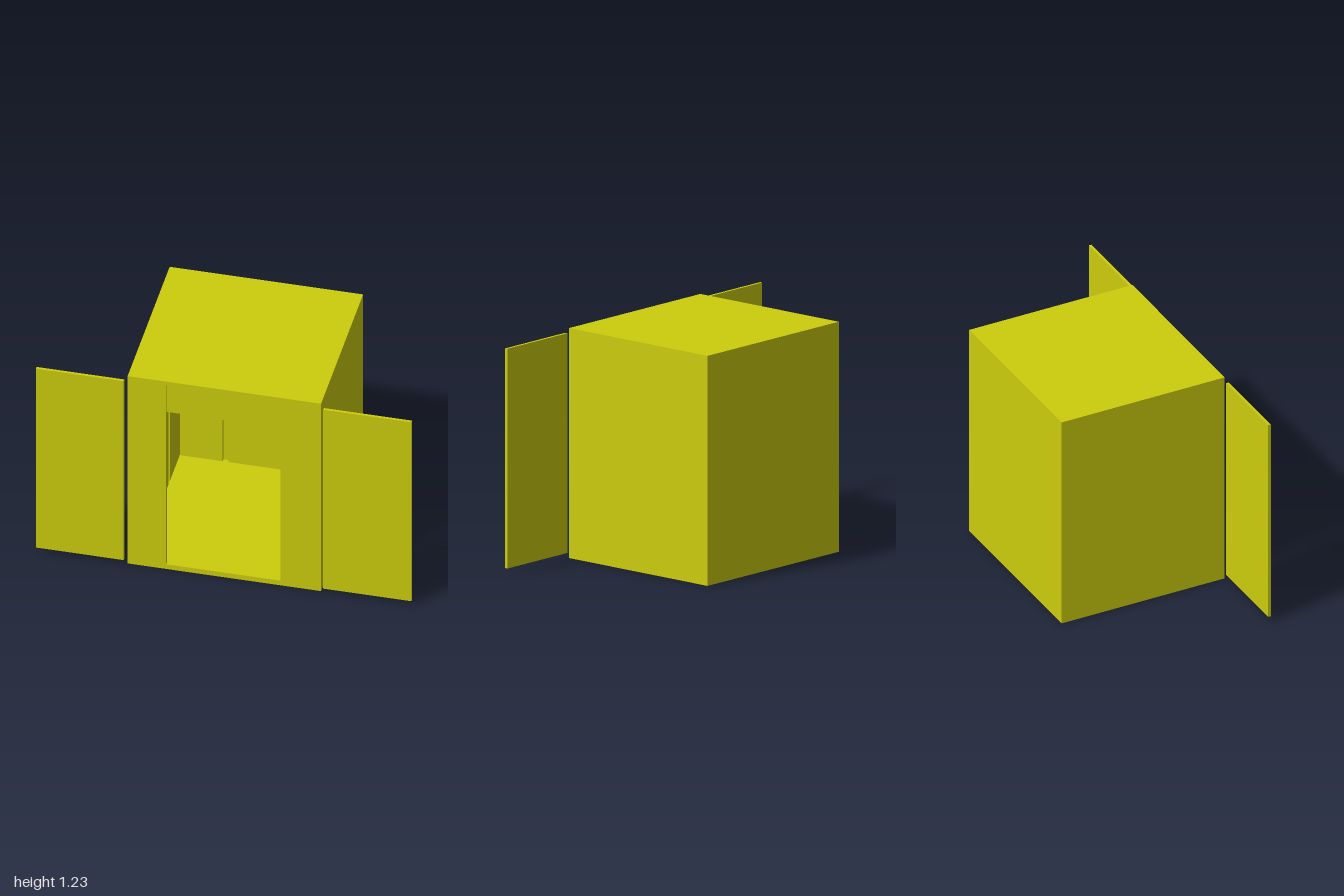
import * as THREE from 'three';

const yellow = new THREE.MeshStandardMaterial({ color: 0xcccc0c });
const blue = new THREE.MeshStandardMaterial({ color: 0x0a0acc });

// Dimensions of the cabin shell
const HALF_W = 0.515, HEIGHT = 1.225, BACK = -0.485, FRONT = 0.47;
const INNER_W = 0.47, FLOOR = 0.03, CEILING = 1.2;
const SKIN = 0.017, PANEL = 0.017, GAP = 0.03;

function add(parent, name, geometry, material) {
  const mesh = new THREE.Mesh(geometry, material);
  mesh.name = name;
  parent.add(mesh);
  return mesh;
}

// Box given by its lower and upper corners
function box(parent, name, x0, x1, y0, y1, z0, z1, material = yellow) {
  const mesh = add(parent, name, new THREE.BoxGeometry(x1 - x0, y1 - y0, z1 - z0), material);
  mesh.position.set((x0 + x1) / 2, (y0 + y1) / 2, (z0 + z1) / 2);
  return mesh;
}

function rect(target, x0, x1, y0, y1) {
  target.moveTo(x0, y0).lineTo(x1, y0).lineTo(x1, y1).lineTo(x0, y1).closePath();
  return target;
}

// Slab in the outline of the cabin with a rectangular hole
function frame(parent, name, hole, z0, z1) {
  const shape = rect(new THREE.Shape(), -HALF_W, HALF_W, 0, HEIGHT);
  shape.holes.push(rect(new THREE.Path(), ...hole));
  const geometry = new THREE.ExtrudeGeometry(shape, { depth: z1 - z0, bevelEnabled: false });
  add(parent, name, geometry, yellow).position.z = z0;
}

export function createModel() {
  const model = new THREE.Group();
  model.name = 'liftCabin';

  // Shell: tube of floor, sides and ceiling, closed by the back and front walls
  const innerBack = BACK + SKIN, innerFront = FRONT - 0.02;
  box(model, 'backWall', -HALF_W, HALF_W, 0, HEIGHT, BACK, innerBack);
  frame(model, 'cabinShell', [-INNER_W, INNER_W, FLOOR, CEILING], innerBack, innerFront);
  frame(model, 'frontWall', [-0.31, 0.30, FLOOR, CEILING], innerFront, FRONT);
  box(model, 'doorHeader', -0.31, 0.30, 1.02, CEILING, innerFront - 0.015, innerFront + 0.01);

  // Wall lining: three panels per wall, separated by narrow reveals
  const seam = 0.21, faceBack = innerBack + PANEL, faceSide = INNER_W - PANEL;
  const spans = (lo, hi) => [
    [lo, -seam - GAP / 2], [-seam + GAP / 2, seam - GAP / 2], [seam + GAP / 2, hi],
  ];
  for (const [x0, x1] of spans(-INNER_W, INNER_W)) {
    box(model, 'backPanel', x0, x1, FLOOR, CEILING, innerBack, faceBack);
  }
  for (const [z0, z1] of spans(faceBack, innerFront)) {
    box(model, 'leftPanel', faceSide, INNER_W, FLOOR, CEILING, z0, z1);
    box(model, 'rightPanel', -INNER_W, -faceSide, FLOOR, CEILING, z0, z1);
  }

  // Mirror on the back wall
  box(model, 'mirror', -0.307, 0.307, 0.54, 1.01, faceBack, faceBack + 0.01, blue);

  // Handrail on two standoffs
  const handrail = new THREE.Group();
  handrail.name = 'handrail';
  const railZ = faceBack + 0.045;
  const rail = add(handrail, 'rail', new THREE.CylinderGeometry(0.009, 0.009, 0.64, 16), blue);
  rail.rotation.z = Math.PI / 2;
  rail.position.set(0, 0.455, railZ);
  for (const x of [-0.275, 0.28]) {
    const post = add(handrail, 'standoff', new THREE.CylinderGeometry(0.014, 0.014, 0.045, 16), blue);
    post.rotation.x = Math.PI / 2;
    post.position.set(x, 0.455, railZ - 0.0225);
  }
  model.add(handrail);

  // Open sliding doors beside the cabin
  box(model, 'leftDoor', 0.53, 1.0, FLOOR, CEILING, FRONT, 0.485);
  box(model, 'rightDoor', -1.0, -0.532, FLOOR, CEILING, FRONT, 0.485);

  return model;
}
